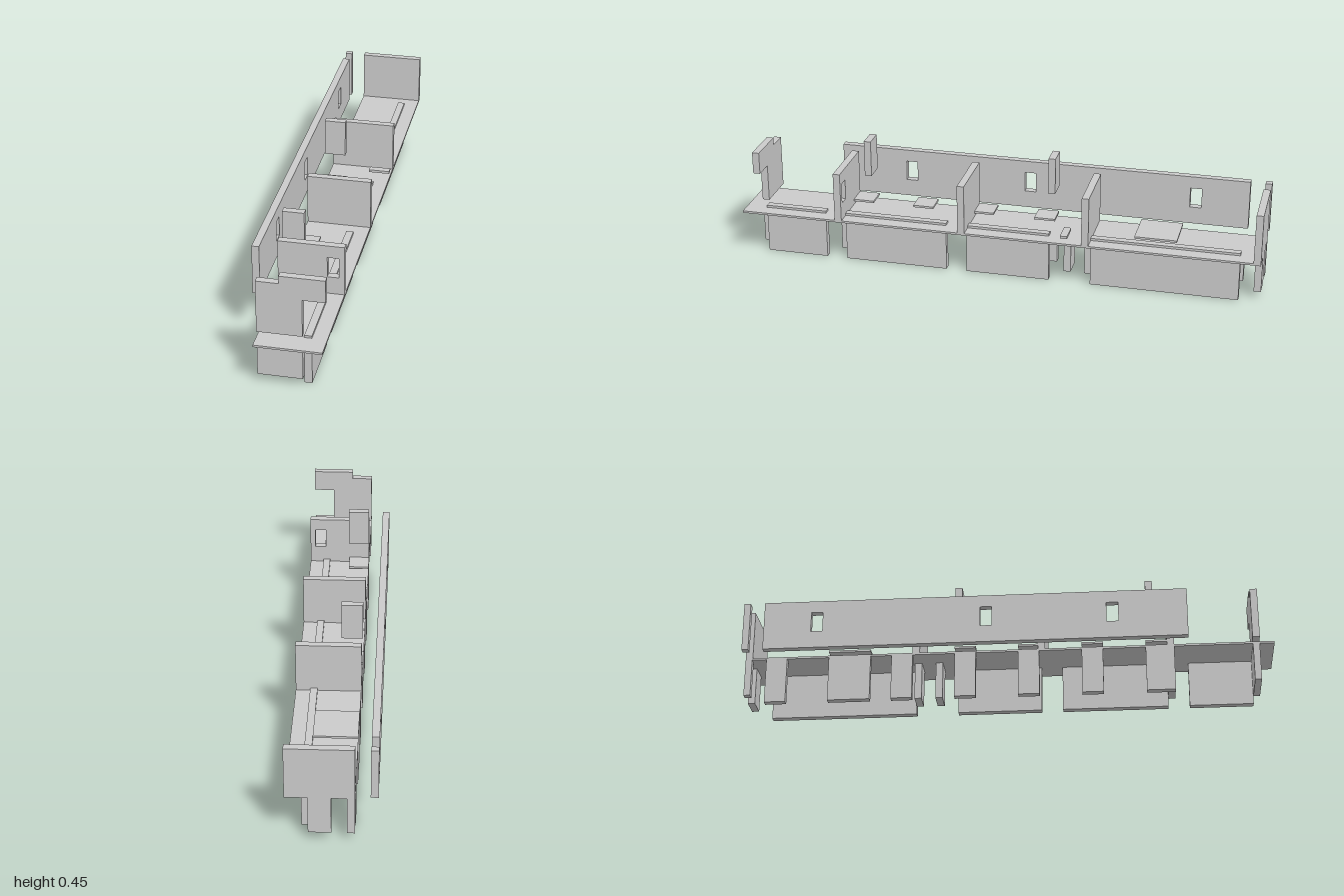
import * as THREE from 'three';

export function createModel() {
  const group = new THREE.Group();
  const mat = new THREE.MeshStandardMaterial({ color: 0xcccccc, flatShading: true });
  const T = 0.027; // wall thickness

  const add = (name, geo) => {
    const m = new THREE.Mesh(geo, mat);
    m.name = name;
    group.add(m);
    return m;
  };
  // box from its minimum and maximum on each axis
  const box = (name, x0, x1, y0, y1, z0, z1) =>
    add(name, new THREE.BoxGeometry(x1 - x0, y1 - y0, z1 - z0))
      .position.set((x0 + x1) / 2, (y0 + y1) / 2, (z0 + z1) / 2);
  // upright panel with rectangular openings [u0, u1, y0, y1]
  const panel = (name, points, holes) => {
    const s = new THREE.Shape(points.map(([u, v]) => new THREE.Vector2(u, v)));
    for (const [a, b, c, d] of holes) {
      s.holes.push(new THREE.Path([[a, c], [a, d], [b, d], [b, c]].map(([u, v]) => new THREE.Vector2(u, v))));
    }
    return add(name, new THREE.ExtrudeGeometry(s, { depth: T, bevelEnabled: false }));
  };

  // floor slab between the two storeys
  box('floor', -0.08, 0.16, 0.175, 0.183, -1, 1);

  // long outer wall with three windows; u runs along -z
  const outer = panel('outerWall', [[-0.68, 0.183], [0.92, 0.183], [0.92, 0.375], [-0.68, 0.375]],
    [-0.4, 0.075, 0.717].map(u => [u - 0.022, u + 0.022, 0.25, 0.328]));
  outer.rotation.y = Math.PI / 2;
  outer.position.x = -0.16;
  box('outerPost', -0.16, -0.133, 0.183, 0.375, -1, -0.975);

  // upper cross walls
  for (const z of [-1, -0.36, 0.115]) box('upperCrossWall', -0.08, 0.16, 0.183, 0.375, z, z + T);
  panel('windowWall', [[-0.08, 0.183], [0.16, 0.183], [0.16, 0.375], [-0.08, 0.375]],
    [[0.098, 0.14, 0.25, 0.328]]).position.z = 0.6;

  // stepped front wall
  panel('frontWall', [[-0.08, 0.203], [0.08, 0.203], [0.08, 0.347], [0.16, 0.347],
    [0.16, 0.432], [0, 0.432], [0, 0.403], [-0.08, 0.403]], []).position.z = 0.92;

  // raised hanging panels
  for (const z of [-0.2, 0.525]) box('hangingPanel', -0.08, 0, 0.31, 0.452, z, z + T);

  // lower long walls rising slightly through the floor
  for (const [a, b] of [[-0.92, -0.36], [-0.2, 0.12], [0.2, 0.6], [0.68, 0.92]]) {
    box('lowerLongWall', 0.08, 0.107, 0, 0.192, a, b);
  }

  // thin raised plates
  for (const z of [-0.2, 0.04, 0.28, 0.52]) box('plate', -0.08, 0, 0.196, 0.204, z, z + 0.08);
  box('widePlate', -0.08, 0.08, 0.196, 0.204, -0.68, -0.52);
  box('smallPlate', 0.08, 0.16, 0.204, 0.214, -0.28, -0.253);

  // lower cross walls
  box('lowerFrontWall', -0.08, 0.08, 0.03, 0.175, 0.92, 0.945);
  for (const z of [-1, -0.36, -0.28, 0.6]) {
    box('lowerCrossWall', 0, 0.08, 0.03, 0.175, z, z + T);
  }
  box('lowerBackPost', -0.08, -0.053, 0.03, 0.175, -1, -0.975);

  // piers along the open lower side
  for (const [a, b] of [[-0.92, -0.84], [-0.68, -0.52], [-0.44, -0.36], [-0.2, -0.12],
    [0.04, 0.12], [0.28, 0.36], [0.52, 0.627]]) {
    box('lowerPier', -0.08, -0.053, 0, 0.175, a, b);
  }
  return group;
}
